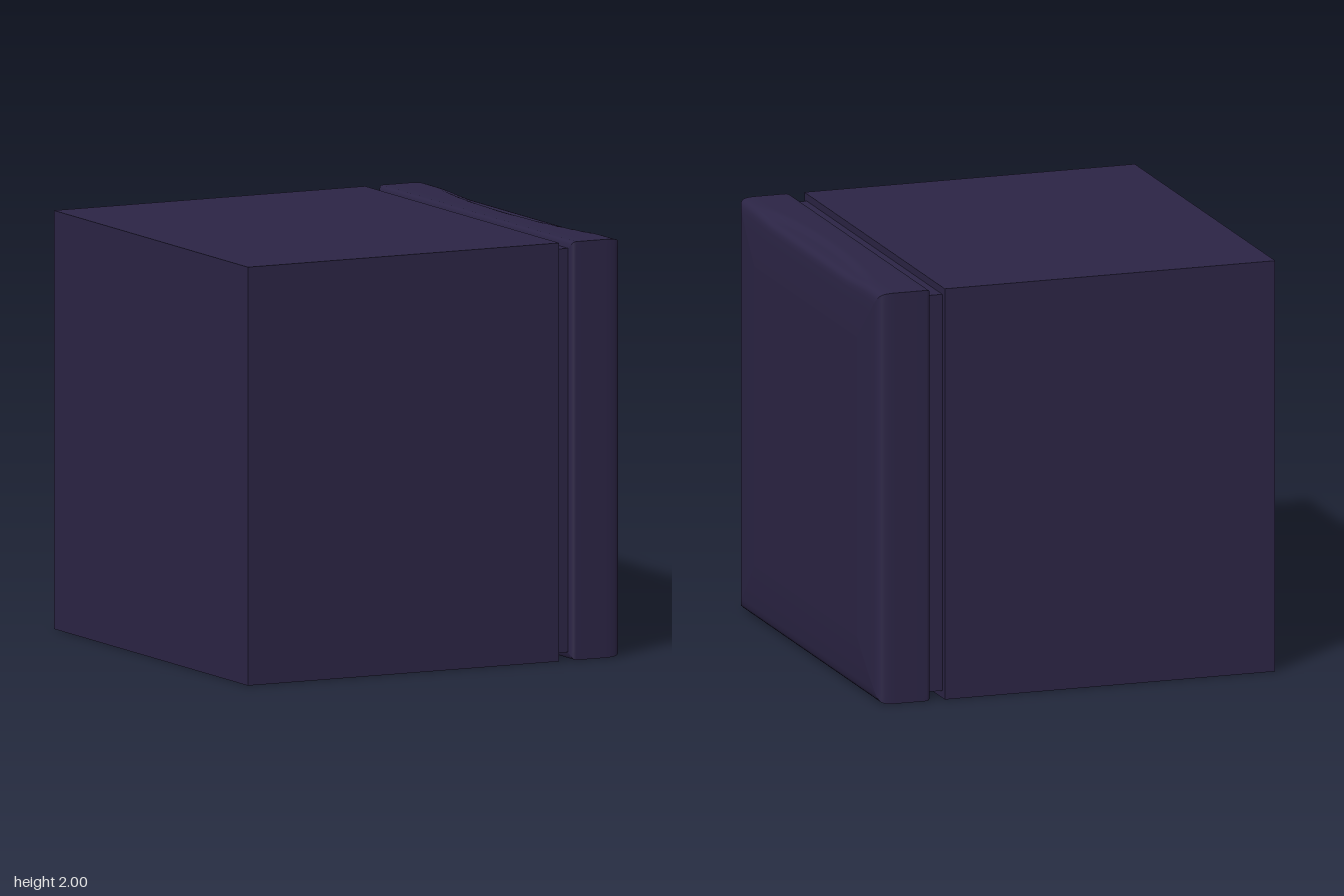
import * as THREE from 'three';

const mat = new THREE.MeshStandardMaterial({ color: 0x2c2546 });

// Door profile: [x, inset from the outer square]
const PROFILE = [
  [0.72, 0.035], [0.725, 0.015], [0.732, 0.004], [0.745, 0], [0.8, 0], [0.84, 0], [0.855, 0],
  [0.87, 0], [0.885, 0], [0.9, 0], [0.915, 0], [0.93, 0.001], [0.95, 0.003], [0.967, 0.008],
  [0.978, 0.018], [0.985, 0.034], [0.989, 0.06], [0.993, 0.12], [0.997, 0.19], [1, 0.27],
];

// Shallow finger scoop along the front of the top edge, with a bowed rear rim
function scoop(x, z) {
  const rim = 0.86 + 0.06 * (z / 0.75) ** 2;
  const along = 1 - THREE.MathUtils.smoothstep(Math.abs(z), 0.5, 0.85);
  return 0.016 * along * THREE.MathUtils.smoothstep(x, rim, rim + 0.04);
}

// One mitred side of the door, following the profile
function doorSide(hasScoop) {
  const geo = new THREE.PlaneGeometry(2, 2, PROFILE.length - 1, 48);
  const pos = geo.attributes.position;
  for (let i = 0; i < pos.count; i++) {
    const [x, inset] = PROFILE[i % PROFILE.length];
    const half = 1 - inset;
    const z = -pos.getY(i) * half;
    const dip = hasScoop && inset < 0.1 ? scoop(x, z) * (1 - inset / 0.1) : 0;
    pos.setXYZ(i, x, half - dip, z);
  }
  geo.computeVertexNormals();
  return geo;
}

function add(parent, name, geo, x = 0) {
  const mesh = new THREE.Mesh(geo, mat);
  mesh.name = name;
  mesh.position.x = x;
  parent.add(mesh);
  return mesh;
}

export function createModel() {
  const model = new THREE.Group();
  model.name = 'cabinet';
  const shell = new THREE.Group();
  shell.name = 'shell';
  shell.position.y = 1;
  model.add(shell);

  // Sharp-edged body and the recessed gasket behind the door
  add(shell, 'body', new THREE.BoxGeometry(1.655, 2, 2), -0.1725);
  add(shell, 'gasket', new THREE.BoxGeometry(0.07, 1.93, 1.93), 0.69);

  // Door: four profiled sides and a front panel
  const door = new THREE.Group();
  door.name = 'door';
  shell.add(door);
  ['doorTop', 'doorFront', 'doorBottom', 'doorBack'].forEach((name, k) => {
    add(door, name, doorSide(k === 0)).rotation.x = k * Math.PI / 2;
  });
  add(door, 'doorPanel', new THREE.PlaneGeometry(1.46, 1.46), 1).rotation.y = Math.PI / 2;

  return model;
}
